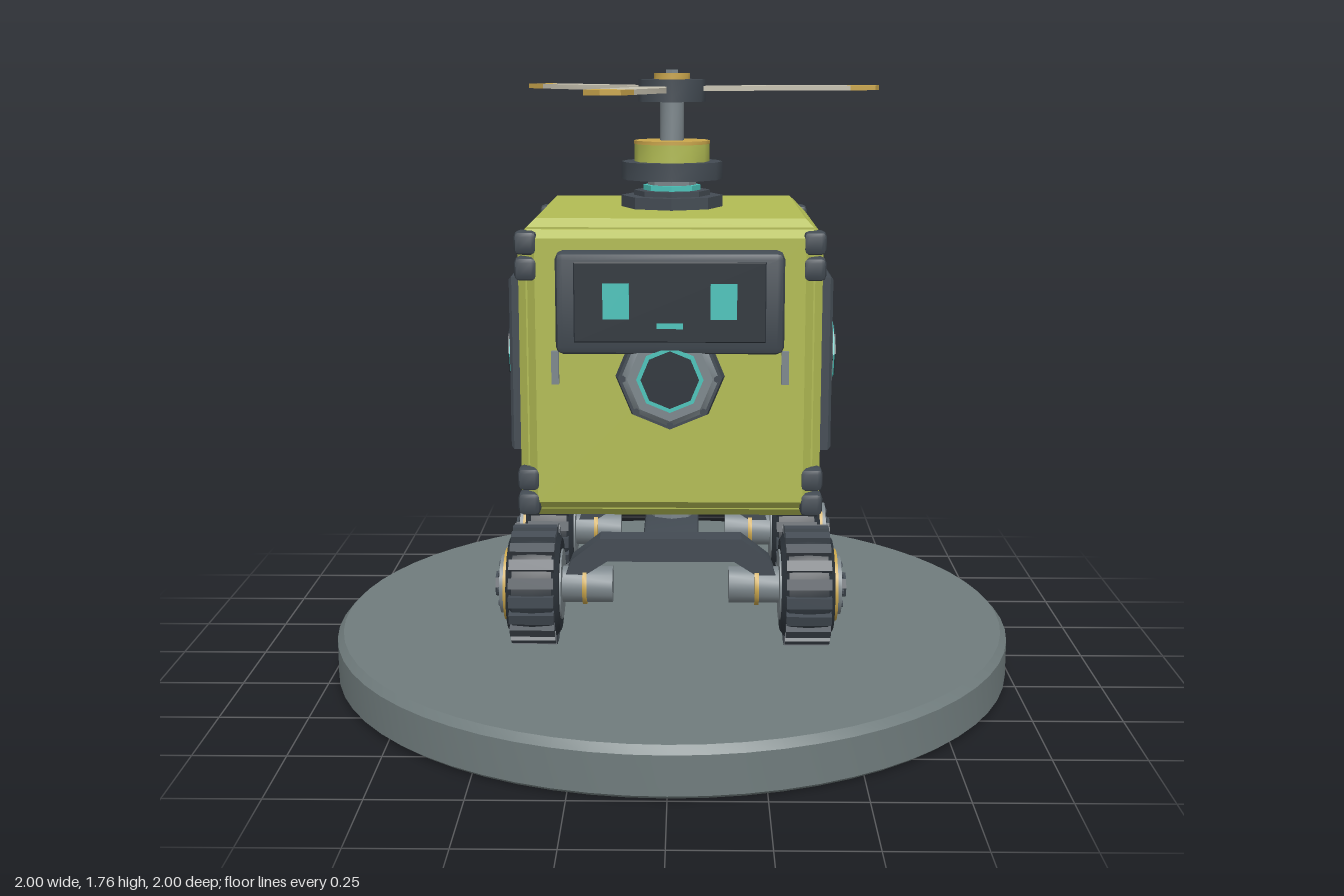
import * as THREE from 'three';
import { toCreasedNormals } from 'three/addons/utils/BufferGeometryUtils.js';
import { RoundedBoxGeometry } from 'three/addons/geometries/RoundedBoxGeometry.js';

const paint = (name, color) => {
  const m = new THREE.MeshStandardMaterial({ color });
  m.name = name;
  return m;
};
const lime = paint('lime paint', 0xb2bc54);
const dark = paint('dark trim', 0x434b53);
const black = paint('black rubber', 0x2d343b);
const steel = paint('steel', 0x7d878c);
const stone = paint('base grey', 0x707c7d);
const teal = paint('teal glow', 0x4cc4bb);
const brass = paint('brass', 0xcaa64c);
const ivory = paint('ivory', 0xc6c1b0);

function add(parent, name, geo, mat, x = 0, y = 0, z = 0) {
  const mesh = new THREE.Mesh(toCreasedNormals(geo, 0.6), mat);
  mesh.name = name;
  mesh.position.set(x, y, z);
  parent.add(mesh);
  return mesh;
}
function group(parent, name, x = 0, y = 0, z = 0) {
  const g = new THREE.Group();
  g.name = name;
  g.position.set(x, y, z);
  parent.add(g);
  return g;
}
// Disc standing between two heights
const disc = (r, y0, y1, sides = 8, rTop = r) =>
  new THREE.CylinderGeometry(rTop, r, y1 - y0, sides).translate(0, (y0 + y1) / 2, 0);
// Disc facing +z with its back at z0
const frontDisc = (r, z0, z1, sides = 8, rFront = r) =>
  disc(r, z0, z1, sides, rFront).rotateX(Math.PI / 2);
const rect = (w, h, P = THREE.Shape) => new P([
  [-w, -h], [w, -h], [w, h], [-w, h],
].map(([x, y]) => new THREE.Vector2(x / 2, y / 2)));
// Bevelled plate facing +z; the hole, if any, leaves a frame
function plate(w, h, d, b, border = 0) {
  const s = rect(w - 2 * b, h - 2 * b);
  if (border) s.holes.push(rect(w - 2 * border + 2 * b, h - 2 * border + 2 * b, THREE.Path));
  return new THREE.ExtrudeGeometry(s, {
    depth: d - b, bevelEnabled: true, bevelThickness: b, bevelSize: b, bevelSegments: 1,
  });
}
const rbox = (w, h, d, r) => new RoundedBoxGeometry(w, h, d, 1, r);

// Octagonal porthole facing +z
function porthole(parent, z) {
  const g = group(parent, 'porthole', 0, 0.95, z);
  add(g, 'portholeRim', frontDisc(0.152, -0.02, 0.035, 8, 0.14), dark);
  add(g, 'portholeCollar', frontDisc(0.132, 0.035, 0.048, 8, 0.115), steel);
  add(g, 'portholeGlow', frontDisc(0.09, 0.048, 0.054), teal);
  add(g, 'portholeGlass', frontDisc(0.078, 0.054, 0.059), black);
  for (let i = 0; i < 8; i++) {
    const a = (i * Math.PI) / 4;
    add(g, 'portholeBolt', frontDisc(0.009, 0.035, 0.046, 6), dark, 0.126 * Math.sin(a), 0.126 * Math.cos(a), 0);
  }
}

function buildBody(root) {
  const body = group(root, 'body');
  add(body, 'bodyCore', rbox(0.785, 0.785, 0.785, 0.03), lime, 0, 0.96, 0);
  // Bevelled cover on each of the six faces
  const turns = [[0, 0], [0, 1], [0, 2], [0, 3], [1, 0], [-1, 0]];
  for (const [rx, ry] of turns) {
    const holder = group(body, 'coverHolder', 0, 0.96, 0);
    holder.rotation.set(rx * Math.PI / 2, ry * Math.PI / 2, 0);
    add(holder, 'cover', plate(0.77, 0.77, 0.03, 0.022), lime, 0, 0, 0.382);
  }
  // Corner guards
  for (const x of [-1, 1]) for (const z of [-1, 1]) for (const y of [1.31, 1.24, 0.66, 0.59]) {
    add(body, 'cornerGuard', rbox(0.062, 0.064, 0.062, 0.015), dark, x * 0.387, y, z * 0.387);
  }
  // Framed hatches on both sides and the back
  for (const turn of [1, 2, 3]) {
    const hatch = group(body, 'hatch');
    hatch.rotation.y = turn * Math.PI / 2;
    add(hatch, 'hatchFrame', plate(0.53, 0.49, 0.04, 0.008, 0.032), dark, 0, 0.955, 0.41);
    add(hatch, 'hatchPanel', plate(0.46, 0.42, 0.022, 0.01), lime, 0, 0.955, 0.41);
    for (const x of [-0.16, -0.053, 0.053, 0.16]) {
      add(hatch, 'ventSlot', new THREE.BoxGeometry(0.06, 0.016, 0.008), black, x, 1.11, 0.434);
    }
    porthole(hatch, 0.418);
  }
  // Face visor
  const face = group(body, 'face');
  add(face, 'visorFrame', rbox(0.61, 0.275, 0.1, 0.02), dark, 0, 1.155, 0.42);
  add(face, 'visorScreen', plate(0.51, 0.215, 0.008, 0.003), black, 0, 1.16, 0.468);
  for (const x of [-1, 1]) {
    add(face, 'eye', new THREE.BoxGeometry(0.07, 0.095, 0.006), teal, x * 0.143, 1.163, 0.478);
    add(face, 'cheekBar', new THREE.BoxGeometry(0.02, 0.09, 0.03), steel, x * 0.31, 0.975, 0.415);
  }
  add(face, 'mouth', new THREE.BoxGeometry(0.07, 0.014, 0.006), teal, 0, 1.097, 0.478);
  porthole(face, 0.413);
}

function buildRotor(root) {
  const rotor = group(root, 'rotor');
  add(rotor, 'rotorFoot', disc(0.147, 1.36, 1.405), dark);
  add(rotor, 'rotorNeck', disc(0.11, 1.405, 1.42), dark);
  add(rotor, 'rotorGlow', disc(0.083, 1.42, 1.435), teal);
  add(rotor, 'rotorNeckTop', disc(0.07, 1.435, 1.455), steel);
  add(rotor, 'rotorCollar', disc(0.146, 1.452, 1.502, 12), dark);
  add(rotor, 'rotorDrum', disc(0.108, 1.502, 1.552, 12), lime);
  add(rotor, 'rotorDrumRim', disc(0.11, 1.552, 1.562, 12), brass);
  add(rotor, 'rotorShaft', disc(0.034, 1.56, 1.68, 12), steel);
  add(rotor, 'rotorHub', disc(0.096, 1.672, 1.735, 12), dark);
  add(rotor, 'rotorCap', disc(0.052, 1.735, 1.752, 12), brass);
  add(rotor, 'rotorNut', disc(0.02, 1.752, 1.762, 6), steel);

  // Swept blades with brass tips
  const blade = [[0.07, 0.01], [0.11, 0.012], [0.31, 0.078], [0.52, 0.055], [0.52, -0.054], [0.11, -0.046], [0.07, -0.04]];
  const tip = [[0.52, 0.055], [0.6, 0.046], [0.628, 0], [0.596, -0.056], [0.52, -0.054]];
  const slab = (pts) => new THREE.ExtrudeGeometry(
    new THREE.Shape(pts.map(([x, y]) => new THREE.Vector2(x, y))),
    { depth: 0.014, bevelEnabled: false },
  ).rotateX(-Math.PI / 2);
  for (let i = 0; i < 3; i++) {
    const g = group(rotor, 'blade', 0, 1.702, 0);
    g.rotation.y = THREE.MathUtils.degToRad(14 + 120 * i);
    add(g, 'bladeVane', slab(blade), ivory);
    add(g, 'bladeTip', slab(tip), brass);
  }
}

// Wheel with its axle along z, outside facing +z
function buildWheel(parent) {
  const w = group(parent, 'wheel');
  const profile = [[0.06, -0.072], [0.13, -0.074], [0.155, -0.055], [0.16, 0], [0.155, 0.055], [0.13, 0.074], [0.06, 0.072]];
  const tyre = new THREE.LatheGeometry(profile.map(([r, y]) => new THREE.Vector2(r, y)), 32).rotateX(Math.PI / 2);
  add(w, 'tyre', tyre, black);
  for (let i = 0; i < 20; i++) {
    const lug = add(w, 'tyreLug', new THREE.BoxGeometry(0.03, 0.03, 0.125).translate(0, 0.156, 0), dark);
    lug.rotation.z = (i * Math.PI) / 10;
  }
  add(w, 'wheelBack', frontDisc(0.1, -0.078, -0.06, 24), steel);
  add(w, 'wheelRing', frontDisc(0.102, 0.06, 0.085, 24), brass);
  add(w, 'wheelPlate', frontDisc(0.083, 0.085, 0.097, 24), steel);
  add(w, 'wheelNut', frontDisc(0.036, 0.097, 0.113, 8), dark);
  for (let i = 0; i < 8; i++) {
    const a = (i * Math.PI) / 4;
    add(w, 'wheelBolt', frontDisc(0.009, 0.097, 0.103, 6), dark, 0.06 * Math.cos(a), 0.06 * Math.sin(a), 0);
  }
  // Inner axle stub
  add(w, 'axleStub', frontDisc(0.052, -0.22, -0.07, 16), steel);
  add(w, 'axleRing', frontDisc(0.058, -0.147, -0.135, 16), brass);
  return w;
}

function buildChassis(root) {
  const chassis = group(root, 'chassis');
  add(chassis, 'neckPlate', disc(0.147, 0.505, 0.56), dark);
  add(chassis, 'neckStep', disc(0.11, 0.485, 0.505), dark);
  add(chassis, 'neckPost', disc(0.07, 0.43, 0.485), steel);
  add(chassis, 'centreBeam', rbox(0.16, 0.06, 0.6, 0.012), dark, 0, 0.42, 0);
  // Bent cross beams reaching down to the axles
  const arch = [[-0.3, 0.35], [-0.25, 0.35], [-0.18, 0.395], [0.18, 0.395], [0.25, 0.35], [0.3, 0.35],
    [0.28, 0.4], [0.2, 0.462], [-0.2, 0.462], [-0.28, 0.4]];
  const beam = new THREE.Shape(arch.map(([x, y]) => new THREE.Vector2(x, y)));
  for (const z of [-0.28, 0.28]) {
    add(chassis, 'crossBeam', new THREE.ExtrudeGeometry(beam, { depth: 0.07, bevelEnabled: false }), dark, 0, 0, z - 0.035);
    for (const x of [-1, 1]) {
      const wheel = buildWheel(chassis);
      wheel.position.set(x * 0.385, 0.318, z);
      wheel.rotation.y = x * Math.PI / 2;
    }
  }
}

export function createModel() {
  const root = new THREE.Group();
  root.name = 'roverRobot';
  // Round display base
  const rim = [[0, 0], [0.985, 0], [1, 0.012], [1, 0.12], [0.982, 0.14], [0, 0.14]];
  add(root, 'base', new THREE.LatheGeometry(rim.map(([r, y]) => new THREE.Vector2(r, y)), 64), stone);
  buildChassis(root);
  buildBody(root);
  buildRotor(root);
  return root;
}
